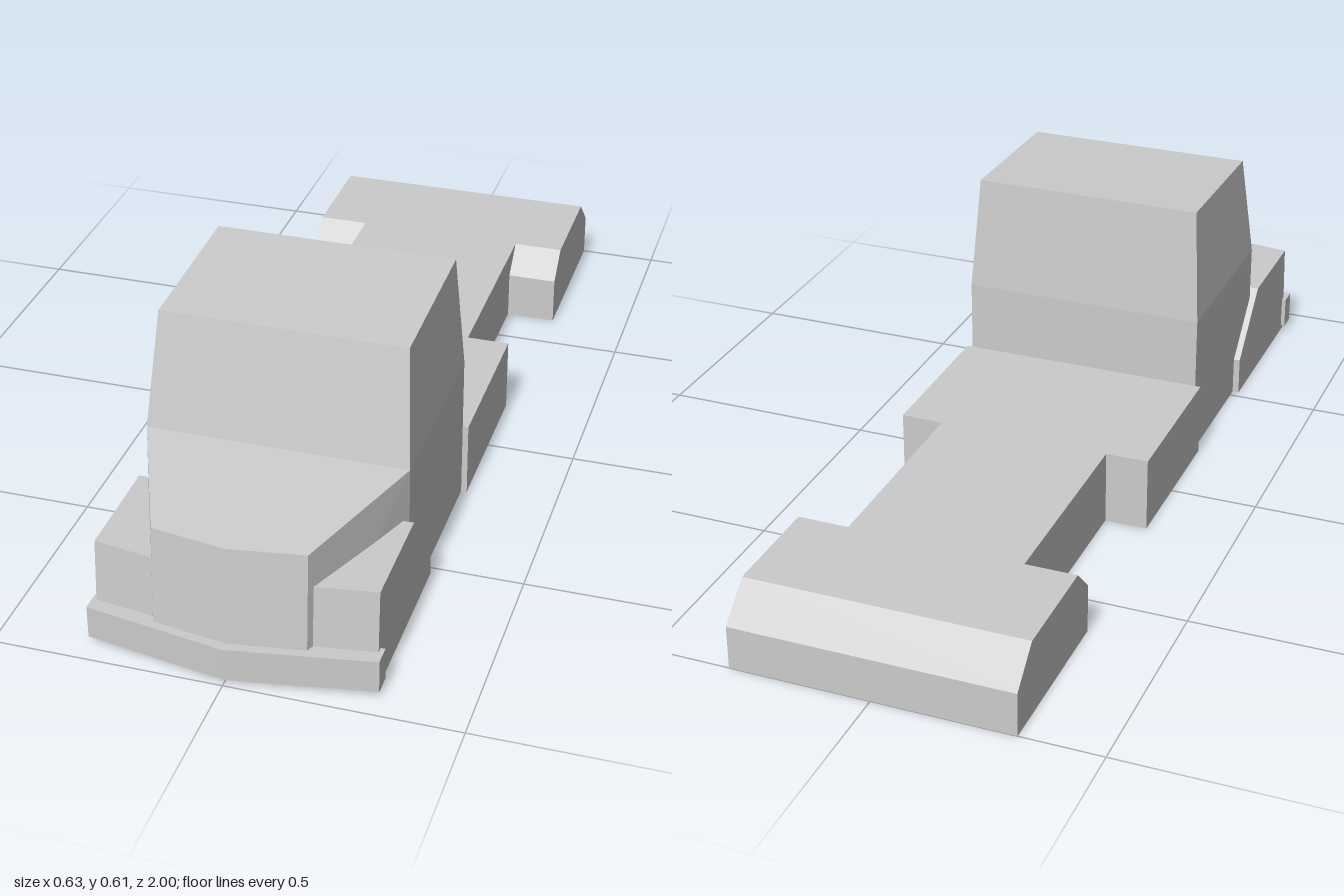
import * as THREE from 'three';
import { ConvexGeometry } from 'three/addons/geometries/ConvexGeometry.js';

const material = new THREE.MeshStandardMaterial({ color: 0xcccccc, flatShading: true });

export function createModel() {
  const model = new THREE.Group();
  const add = (name, geometry) => {
    const mesh = new THREE.Mesh(geometry, material);
    mesh.name = name;
    model.add(mesh);
    return mesh;
  };
  // Flat-faced solid spanned by its corners; mirrored corners are added when asked
  const solid = (name, corners, mirrored = true) => {
    const points = corners.map(c => new THREE.Vector3(...c));
    if (mirrored) corners.filter(c => c[0]).forEach(([x, y, z]) => points.push(new THREE.Vector3(-x, y, z)));
    return add(name, new ConvexGeometry(points));
  };
  // Solid with a constant side profile of [z, y] points between two x positions
  const profile = (name, x0, x1, pts) =>
    solid(name, pts.flatMap(([z, y]) => [[x0, y, z], [x1, y, z]]), false);

  // Cab: upright lower body and tapered upper body
  profile('cabBody', -0.285, 0.285, [[0.2, 0], [0.2, 0.34], [0.64, 0.34], [0.64, 0]]);
  solid('cabTop', [
    [0.285, 0.34, 0.2], [0.285, 0.34, 0.64],
    [0.267, 0.605, 0.224], [0.267, 0.594, 0.588],
  ]);

  // Hood narrowing to a pointed, slightly raked grille
  solid('hood', [
    [0.285, 0, 0.64], [0.285, 0.34, 0.64],
    [0.163, 0, 0.957], [0.163, 0.308, 0.935],
    [0, 0, 0.982], [0, 0.308, 0.96],
  ]);

  // Front fenders with a sloped rear edge
  for (const s of [1, -1]) {
    const corners = [];
    for (const [x, dz] of [[0.165, 0.02], [0.3, 0]]) {
      corners.push([s * x, 0, 0.52], [s * x, 0.09, 0.52], [s * x, 0.227, 0.66],
        [s * x, 0.227, 0.905 + dz], [s * x, 0, 0.922 + dz]);
    }
    solid(s > 0 ? 'leftFrontFender' : 'rightFrontFender', corners, false);
  }

  // Swept bumper with a shallow point in the middle
  const bumper = new THREE.Shape([
    [-0.31, -0.945], [0, -0.997], [0.31, -0.945],
    [0.31, -0.9], [0, -0.95], [-0.31, -0.9],
  ].map(p => new THREE.Vector2(...p)));
  const bumperGeometry = new THREE.ExtrudeGeometry(bumper, { depth: 0.075, bevelEnabled: false });
  bumperGeometry.rotateX(-Math.PI / 2).translate(0, 0.013, 0);
  add('frontBumper', bumperGeometry);

  // Low bed: wide front section, narrow waist, wide tail
  const deck = 0.173;
  profile('bedFront', -0.298, 0.298, [[0.2, 0], [0.2, deck], [-0.18, deck], [-0.18, 0]]);
  profile('bedWaist', -0.2, 0.2, [[-0.18, 0], [-0.18, deck], [-0.7, deck], [-0.7, 0]]);
  profile('bedTail', -0.317, 0.317, [
    [-0.61, 0], [-0.61, 0.113], [-0.67, deck], [-0.922, deck], [-1, 0.1], [-1, 0],
  ]);

  return model;
}
